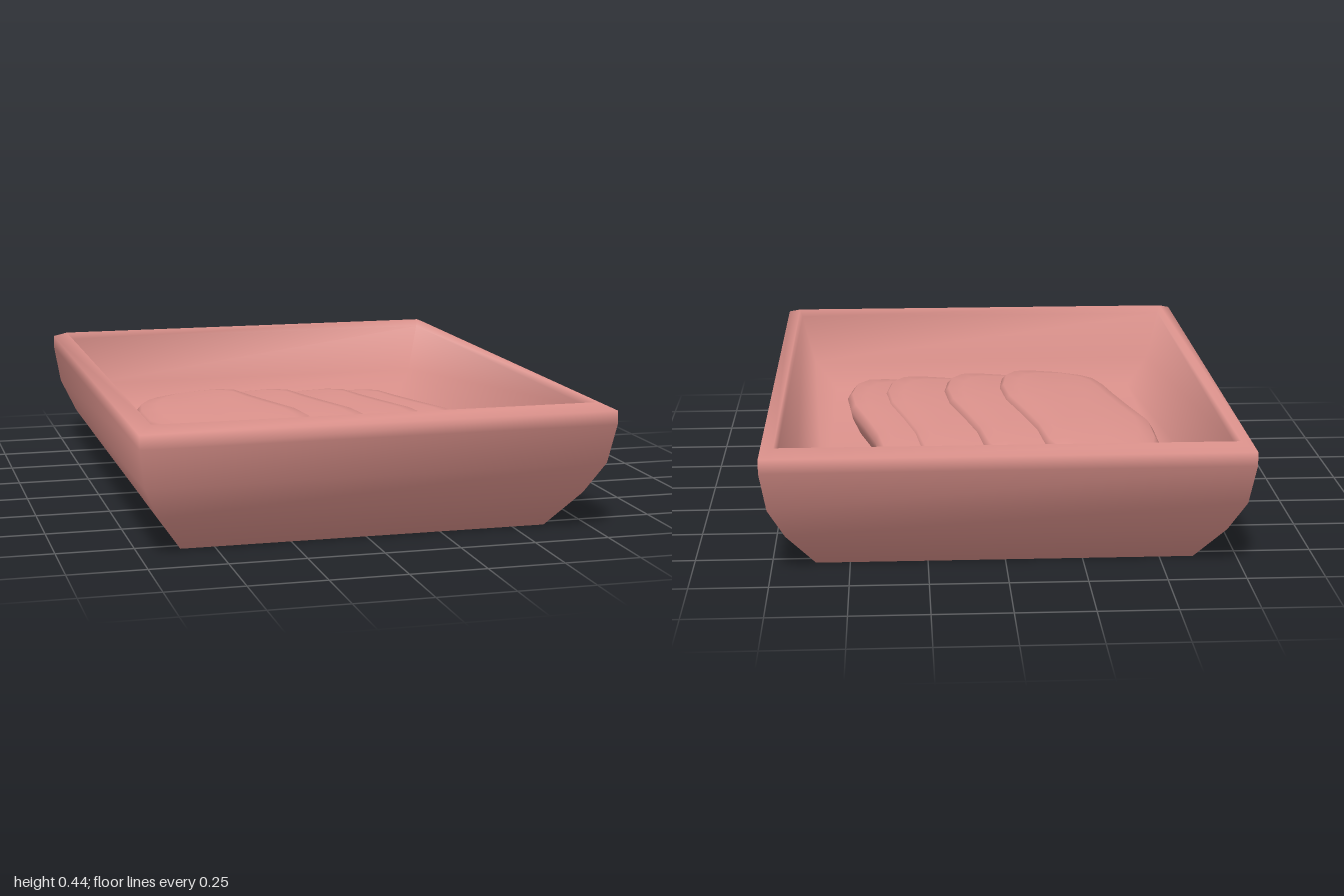
import * as THREE from 'three';

// Skins a stack of rings (counter-clockwise seen from above) and closes both ends.
function loft(rings) {
  const n = rings[0].length, pos = [], idx = [];
  rings.forEach(r => r.forEach(p => pos.push(...p)));
  for (let i = 0; i < rings.length - 1; i++) {
    for (let j = 0; j < n; j++) {
      const k = (j + 1) % n, a = i * n + j, b = i * n + k;
      idx.push(a, b, b + n, a, b + n, a + n);
    }
  }
  const cap = (ring, start, up) => {
    const c = pos.length / 3;
    pos.push(...[0, 1, 2].map(d => ring.reduce((s, p) => s + p[d], 0) / n));
    for (let j = 0; j < n; j++) {
      const a = start + j, b = start + (j + 1) % n;
      if (up) idx.push(c, a, b); else idx.push(c, b, a);
    }
  };
  cap(rings[0], 0, false);
  cap(rings[rings.length - 1], (rings.length - 1) * n, true);
  const g = new THREE.BufferGeometry();
  g.setAttribute('position', new THREE.Float32BufferAttribute(pos, 3));
  g.setIndex(idx);
  g.computeVertexNormals();
  return g;
}

// Tray section: half width, half depth, height; up the outside, down the inside
const TRAY = [
  [0.61, 0.79, 0], [0.70, 0.90, 0.13], [0.75, 0.97, 0.24], [0.77, 1, 0.37],
  [0.77, 1, 0.415], [0.725, 0.945, 0.435], [0.715, 0.925, 0.41],
  [0.665, 0.865, 0.24], [0.58, 0.78, 0.15],
];

// Slice outline (x, z), clockwise from the back tip
const OUTLINE = [
  [-0.38, -0.64], [-0.28, -0.585], [-0.21, -0.51], [-0.165, -0.41], [-0.14, -0.24],
  [-0.10, -0.07], [-0.05, 0.12], [-0.035, 0.28], [-0.055, 0.45], [-0.10, 0.57],
  [-0.17, 0.64], [-0.28, 0.695], [-0.38, 0.64], [-0.42, 0.57], [-0.45, 0.44],
  [-0.475, 0.30], [-0.52, 0.12], [-0.57, -0.06], [-0.57, -0.26], [-0.545, -0.41],
  [-0.50, -0.51], [-0.45, -0.58],
].reverse();

// Slice section: outline scale and height relative to its middle plane
const SECTION = [[0.86, -0.10], [0.97, -0.05], [1, -0.02], [0.93, 0.008], [0.75, 0.016], [0.4, 0.02]];

function sliceGeometry() {
  const cx = -0.3, cz = 0.02;
  return loft(SECTION.map(([s, h]) => OUTLINE.map(([px, pz]) => {
    const x = cx + (px - cx) * s, z = cz + (pz - cz) * s;
    // lean up towards +x, droop at both ends
    const y = 0.265 + h + 0.11 * (x - cx) - 0.045 * Math.pow(Math.abs(z - cz) / 0.67, 4);
    return [x, Math.max(y, 0.14), z];
  })));
}

export function createModel() {
  const group = new THREE.Group();
  const material = new THREE.MeshStandardMaterial({ color: 0xdc928c });

  const corners = [[-1, 1], [1, 1], [1, -1], [-1, -1]];
  const tray = new THREE.Mesh(
    loft(TRAY.map(([w, d, y]) => corners.map(([sx, sz]) => [sx * w, y, sz * d]))), material);
  tray.name = 'tray';
  group.add(tray);

  // Overlapping row of identical slices, the leftmost on top
  const geometry = sliceGeometry();
  [0, 0.205, 0.425, 0.56].forEach((x, i) => {
    const slice = new THREE.Mesh(geometry, material);
    slice.name = `slice${i + 1}`;
    slice.position.set(x, -0.009 * i, 0);
    group.add(slice);
  });
  return group;
}
